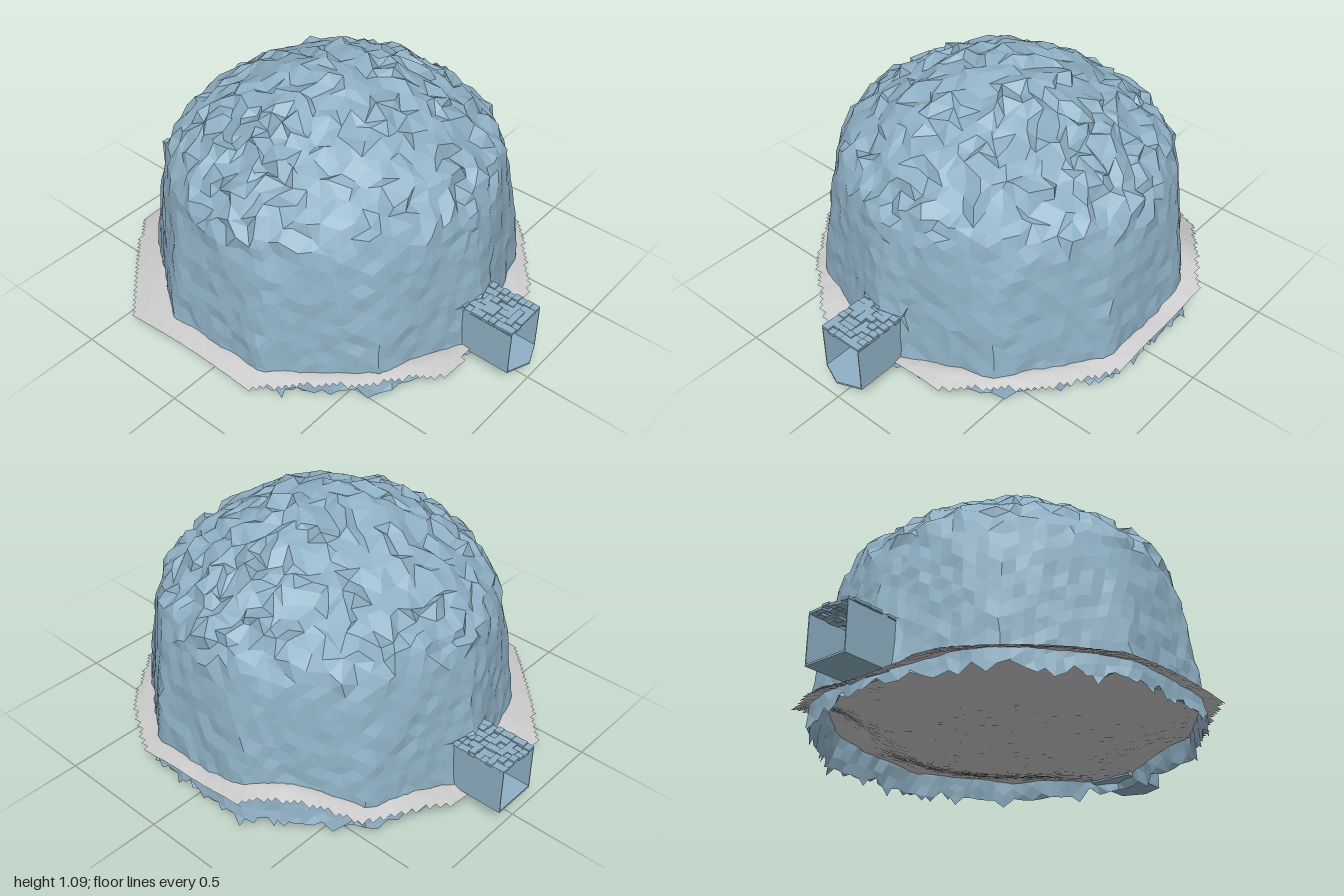
import * as THREE from 'three';

const ice = new THREE.MeshStandardMaterial({ color: 0x8fb0c4, flatShading: true, side: THREE.DoubleSide });
const grey = new THREE.MeshStandardMaterial({ color: 0xcccccc, side: THREE.DoubleSide });
const { lerp, clamp, smoothstep } = THREE.MathUtils;

// Repeatable noise in -1..1 from a position, so shared corners move together
function noise(x, y, z, k) {
  const q = v => Math.round(v * 1000);
  const s = Math.sin(q(x) * 0.1271 + q(y) * 0.3117 + q(z) * 0.0747 + k * 17.3) * 43758.5453;
  return (s - Math.floor(s)) * 2 - 1;
}

function add(group, name, geometry, material) {
  const mesh = new THREE.Mesh(geometry, material);
  mesh.name = name;
  group.add(mesh);
  return mesh;
}

// Doorway in the dome wall, and how far a point is from its middle (1 = on the frame)
const door = { half: 0.1, low: 0.08, high: 0.295 };
const doorMid = (door.low + door.high) / 2, doorHalfHeight = (door.high - door.low) / 2;
const doorDistance = p => Math.max(Math.abs(p.x) / door.half, Math.abs(p.y - doorMid) / doorHalfHeight);

// Move corners that lie in a doorway out to its frame, and pull near ones into its corners
function fitToDoor(p) {
  const d = doorDistance(p);
  if (Math.abs(p.z) < 0.5 || d > 1.25) return;
  let u = p.x / door.half, v = (p.y - doorMid) / doorHalfHeight;
  if (d < 1) {
    u /= Math.max(d, 0.01);
    v /= Math.max(d, 0.01);
  }
  if (Math.min(Math.abs(u), Math.abs(v)) > 0.72) {
    u = Math.sign(u);
    v = Math.sign(v);
  }
  p.x = u * door.half;
  p.y = doorMid + v * doorHalfHeight;
}

// Rough ten-sided dome: an even ball mesh mapped onto a profile, open at the ragged foot
function domeGeometry() {
  const profile = new THREE.CatmullRomCurve3([
    [0.785, -0.02], [0.765, 0.1], [0.742, 0.35], [0.715, 0.6], [0.685, 0.71], [0.59, 0.81],
    [0.45, 0.915], [0.3, 1.0], [0.13, 1.06], [0, 1.075],
  ].map(([r, y]) => new THREE.Vector3(r, y, 0)));
  const low = -4 * Math.PI / 180, sector = Math.PI / 5;
  const foot = a => 0.036 + 0.02 * Math.sin(41 * a) + 0.016 * Math.sin(27 * a + 1);

  const place = v => {
    const rise = Math.asin(clamp(v.y, -1, 1));
    const c = profile.getPointAt(clamp((rise - low) / (Math.PI / 2 - low), 0, 1));
    const a = Math.atan2(v.z, v.x);
    const offset = a - Math.round(a / sector) * sector;
    const r = c.x * lerp(1 / Math.cos(offset), 1, smoothstep(c.y, 0.2, 0.8));
    const rough = lerp(0.006, 0.024, smoothstep(c.y, 0.55, 0.8));
    const n = k => noise(v.x, v.y, v.z, k) * rough;
    const p = new THREE.Vector3(r * Math.cos(a) + n(1), Math.max(foot(a), c.y + n(2)), r * Math.sin(a) + n(3));
    if (p.z > 0) p.z *= 0.96;
    fitToDoor(p);
    return p;
  };

  const ball = new THREE.IcosahedronGeometry(1, 18).attributes.position;
  const out = [];
  for (let i = 0; i < ball.count; i += 3) {
    const src = [0, 1, 2].map(k => new THREE.Vector3().fromBufferAttribute(ball, i + k));
    if ((src[0].y + src[1].y + src[2].y) / 3 < -0.02) continue;
    const tri = src.map(place);
    const inDoor = tri.every(p => Math.abs(p.z) > 0.5 && doorDistance(p) < 1.01);
    if (!inDoor) tri.forEach(p => out.push(p.x, p.y, p.z));
  }
  const g = new THREE.BufferGeometry();
  g.setAttribute('position', new THREE.Float32BufferAttribute(out, 3));
  g.computeVertexNormals();
  return g;
}

// Wavy ground sheet made of small square cells, giving a stepped rim
function groundGeometry() {
  const outline = [
    [0.82, -0.28], [0.82, 0.25], [0.66, 0.52], [0.32, 0.79], [0, 0.76], [-0.28, 0.81], [-0.55, 0.6],
    [-0.83, 0.26], [-0.83, -0.42], [-0.6, -0.65], [-0.37, -0.86], [-0.1, -0.84], [0.2, -0.83], [0.53, -0.68],
  ];
  const inside = (x, z) => {
    let hit = false;
    outline.forEach(([ax, az], i) => {
      const [bx, bz] = outline[(i + 1) % outline.length];
      if ((az > z) !== (bz > z) && x < ax + (bx - ax) * (z - az) / (bz - az)) hit = !hit;
    });
    return hit;
  };
  // rim height every 30 degrees, starting at +x and turning towards +z
  const rim = [0.16, 0.14, 0.13, 0.088, 0.145, 0.135, 0.13, 0.13, 0.125, 0.088, 0.14, 0.225];
  const height = (x, z) => {
    const s = (Math.atan2(z, x) / (Math.PI / 6) + 12) % 12, i = Math.floor(s);
    const edge = lerp(rim[i % 12], rim[(i + 1) % 12], smoothstep(s - i, 0, 1));
    const r = Math.hypot(x, z);
    // the sheet dips outward beyond the dome wall
    return lerp(0.072, edge, smoothstep(r, 0.42, 0.78)) - 0.35 * Math.max(0, r - 0.77);
  };
  const step = 0.02, n = 44, row = 2 * n + 1, points = [], index = [];
  for (let j = -n; j <= n; j++) {
    for (let i = -n; i <= n; i++) {
      const x = i * step, z = j * step;
      points.push(x, height(x, z) + 0.002 * noise(x, 0, z, 5), z);
      if (i === n || j === n || !inside(x + step / 2, z + step / 2)) continue;
      const a = (j + n) * row + i + n;
      index.push(a, a + row, a + 1, a + 1, a + row, a + row + 1);
    }
  }
  const g = new THREE.BufferGeometry();
  g.setAttribute('position', new THREE.Float32BufferAttribute(points, 3));
  g.setIndex(index);
  g.computeVertexNormals();
  return g;
}

// Entrance passage from z0 out to z1: two walls, floor and a roof of uneven blocks
function passage(name, z0, z1, floorTip) {
  const group = new THREE.Group();
  group.name = name;
  const thin = 0.004, length = Math.abs(z1 - z0), mid = (z0 + z1) / 2;
  for (const side of [-1, 1]) {
    const wall = add(group, 'passageWall', new THREE.BoxGeometry(thin, 0.2, length), ice);
    wall.position.set(side * (0.1 - thin / 2), 0.18, mid);
  }
  // floor, ending in a shallow point where floorTip goes past the walls
  const shape = new THREE.Shape([[-0.1, z0], [0.1, z0], [0.1, z1], [0, floorTip], [-0.1, z1]]
    .map(([x, z]) => new THREE.Vector2(x, z)));
  const floor = new THREE.ExtrudeGeometry(shape, { depth: 0.008, bevelEnabled: false });
  floor.rotateX(Math.PI / 2);
  add(group, 'passageFloor', floor, ice).position.y = 0.087;
  const cols = 6, rows = 9, w = 0.2 / cols, d = length / rows;
  for (let i = 0; i < cols; i++) {
    for (let j = 0; j < rows; j++) {
      const block = add(group, 'roofBlock', new THREE.BoxGeometry(w, 0.01, d), ice);
      block.position.set(-0.1 + (i + 0.5) * w, 0.287 + 0.008 * noise(i, j, z1, 7),
        Math.min(z0, z1) + (j + 0.5) * d);
    }
  }
  return group;
}

export function createModel() {
  const model = new THREE.Group();
  model.name = 'iceHut';
  add(model, 'dome', domeGeometry(), ice);
  add(model, 'ground', groundGeometry(), grey);
  model.add(passage('frontPassage', 0.71, 0.96, 1.0));
  model.add(passage('backPassage', -0.75, -1.0, -1.0));
  return model;
}
